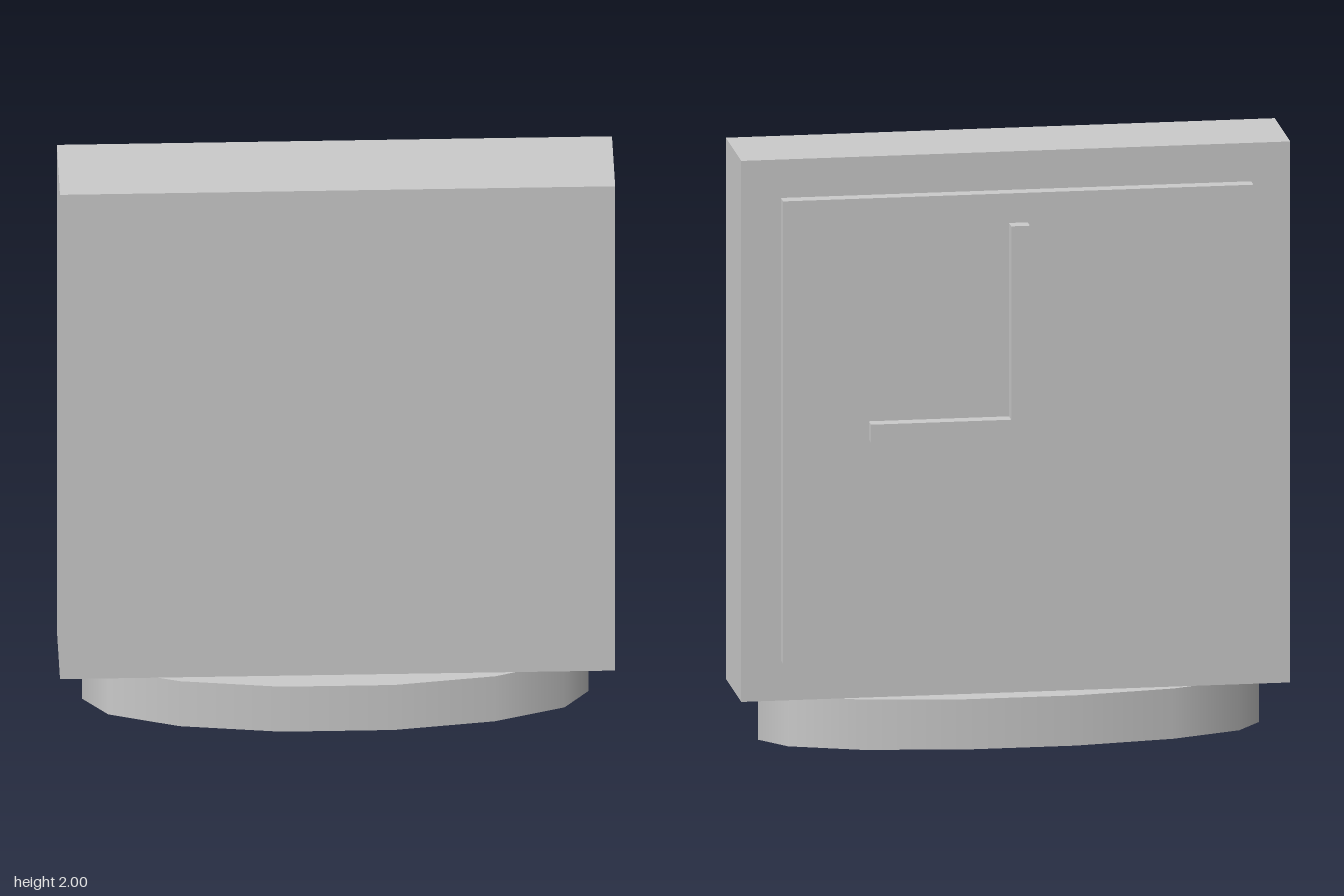
import * as THREE from 'three';

const grey = new THREE.MeshStandardMaterial({ color: 0xcccccc });
grey.name = 'grey';

// Box given by its minimum and maximum corners
function block(name, min, max) {
  const size = max.map((v, i) => v - min[i]);
  const mesh = new THREE.Mesh(new THREE.BoxGeometry(...size), grey);
  mesh.position.set(...max.map((v, i) => (v + min[i]) / 2));
  mesh.name = name;
  return mesh;
}

export function createModel() {
  const clock = new THREE.Group();
  clock.name = 'clock';

  // Oval foot: 14-sided, with a corner on each end
  const footGeometry = new THREE.CylinderGeometry(1, 1, 0.17, 14, 1, false, Math.PI / 2);
  footGeometry.scale(0.834, 1, 0.248);
  const foot = new THREE.Mesh(footGeometry, grey);
  foot.position.set(-0.002, 0.085, 0.011);
  foot.name = 'foot';
  clock.add(foot);

  // Square case with a raised dial on the back
  clock.add(block('case', [-0.914, 0.17, -0.156], [0.914, 2, 0.179]));
  clock.add(block('dial', [-0.784, 0.305, -0.206], [0.782, 1.87, -0.156]));

  // Hands meeting at the dial centre
  clock.add(block('minuteHand', [-0.032, 1.085, -0.255], [0.03, 1.77, -0.206]));
  clock.add(block('hourHand', [0, 1.055, -0.255], [0.497, 1.116, -0.206]));

  return clock;
}
